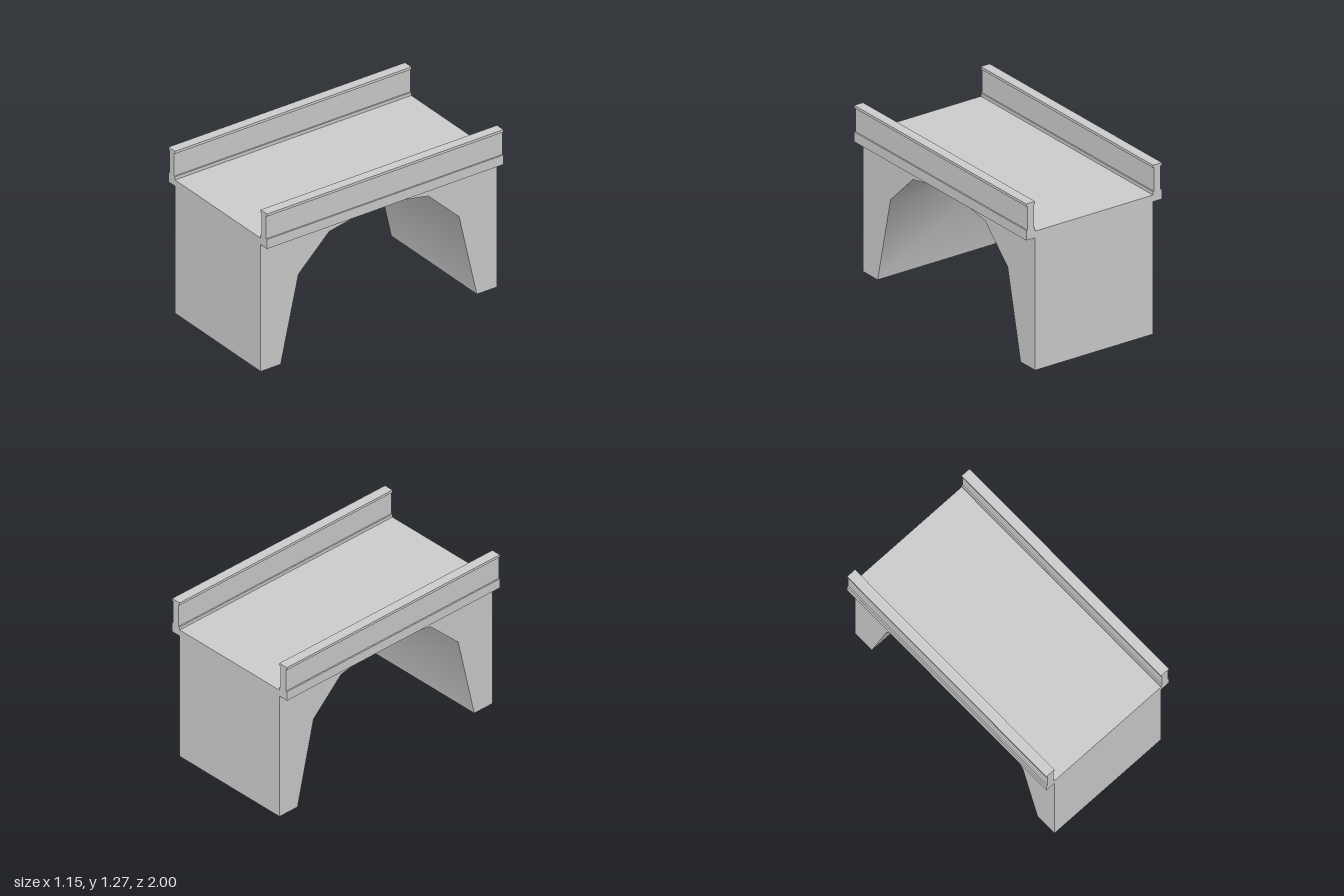
import * as THREE from 'three';
import { toCreasedNormals } from 'three/addons/utils/BufferGeometryUtils.js';

const WIDTH = 1, LENGTH = 2;

// Straight extrusion of a closed outline, centred on its length
function extrude(points, depth) {
  const shape = new THREE.Shape(points.map(([x, y]) => new THREE.Vector2(x, y)));
  const geometry = new THREE.ExtrudeGeometry(shape, { depth, bevelEnabled: false });
  return geometry.translate(0, 0, -depth / 2);
}

export function createModel() {
  const bridge = new THREE.Group();
  bridge.name = 'bridge';
  const stone = new THREE.MeshStandardMaterial({ color: 0xcccccc });

  // Abutments, vault and deck: one side profile run across the width
  const halfArch = [[0.83, 0], [0.68, 0.66], [0.42, 0.91]];
  const arch = [
    ...halfArch,
    [0, 0.99],
    ...halfArch.map(([z, y]) => [-z, y]).reverse(),
  ];
  const outline = [...arch, [-1, 0], [-1, 1.05], [1, 1.05], [1, 0]];
  const archGeometry = extrude(outline, WIDTH).rotateY(Math.PI / 2);
  // The vault shades smoothly, all other edges stay sharp
  const span = new THREE.Mesh(toCreasedNormals(archGeometry, 0.7), stone);
  span.name = 'archSpan';
  bridge.add(span);

  // Parapets: plinth, recessed wall and coping, mirrored left and right
  const parapetProfile = [
    [0.5, 1], [0.575, 1], [0.575, 1.075], [0.565, 1.075],
    [0.565, 1.255], [0.575, 1.255], [0.575, 1.275], [0.5, 1.275],
    [0.5, 1.255], [0.51, 1.255], [0.51, 1.075], [0.5, 1.075],
  ];
  for (const [name, side] of [['leftParapet', 1], ['rightParapet', -1]]) {
    const profile = parapetProfile.map(([x, y]) => [x * side, y]);
    const parapet = new THREE.Mesh(extrude(profile, LENGTH), stone);
    parapet.name = name;
    bridge.add(parapet);
  }

  return bridge;
}
